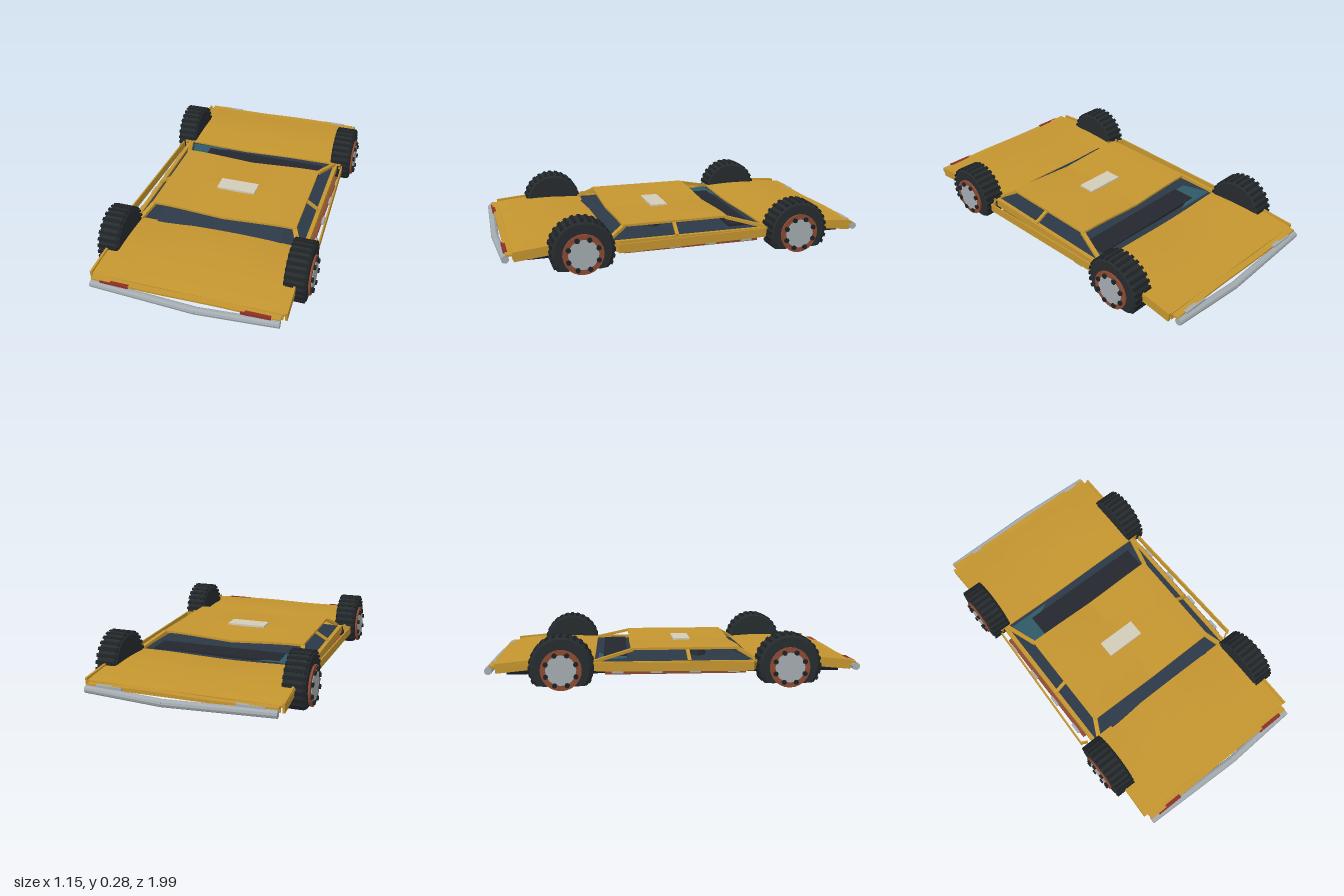
import * as THREE from 'three';

const mat = (color, side = THREE.FrontSide) => new THREE.MeshStandardMaterial({ color, side, flatShading: true });
const PAINT = mat(0xc4952f, THREE.DoubleSide);
const TYRE = mat(0x262b2e), TREAD = mat(0x1d2123), RUST = mat(0x8a4a32), STEEL = mat(0xa3abb0);
const DARK = mat(0x171b24), GLASS = mat(0x2c3846, THREE.DoubleSide), TEAL = mat(0x2f5a66, THREE.DoubleSide);
const CREAM = mat(0xd2cbb8), RED = mat(0x8c2f26), SEAT = mat(0x24282e);

function add(parent, name, geometry, material, x = 0, y = 0, z = 0) {
  const mesh = new THREE.Mesh(geometry, material);
  mesh.name = name;
  mesh.position.set(x, y, z);
  parent.add(mesh);
  return mesh;
}
const box = (parent, name, w, h, d, material, x, y, z) =>
  add(parent, name, new THREE.BoxGeometry(w, h, d), material, x, y, z);

// Straight bar between two points
function bar(parent, name, a, b, w, h, material) {
  const p = new THREE.Vector3(...a), q = new THREE.Vector3(...b);
  const mesh = box(parent, name, w, h, p.distanceTo(q), material, 0, 0, 0);
  mesh.position.copy(p).lerp(q, 0.5);
  mesh.lookAt(q);
  return mesh;
}

// Dented sheet: a thin slab whose height follows a rule
function sheet(parent, name, x0, x1, z0, z1, thickness, height, material) {
  const g = new THREE.BoxGeometry(x1 - x0, thickness, z1 - z0, 10, 1, 8);
  g.translate((x0 + x1) / 2, 0, (z0 + z1) / 2);
  const p = g.attributes.position;
  for (let i = 0; i < p.count; i++) p.setY(i, p.getY(i) + height(p.getX(i), p.getZ(i)));
  g.computeVertexNormals();
  return add(parent, name, g, material);
}

function makeWheel(side) {
  const wheel = new THREE.Group();
  wheel.name = 'wheel';
  // Tyre with sagging flat bottom
  const profile = [[0, -0.058], [0.145, -0.058], [0.163, -0.045], [0.163, 0.045], [0.145, 0.058], [0, 0.058]]
    .map(([r, h]) => new THREE.Vector2(r, h));
  const tyre = new THREE.LatheGeometry(profile, 28);
  tyre.rotateZ(Math.PI / 2);
  const p = tyre.attributes.position;
  for (let i = 0; i < p.count; i++) p.setY(i, Math.max(p.getY(i), -0.093));
  tyre.computeVertexNormals();
  add(wheel, 'tyre', tyre, TYRE);
  // Tread bars
  for (let i = 0; i < 28; i++) {
    const a = (i / 28) * Math.PI * 2;
    if (Math.sin(a) < -0.5) continue;
    const bar = box(wheel, 'treadBar', 0.112, 0.008, 0.018, TREAD, 0, Math.sin(a) * 0.161, Math.cos(a) * 0.161);
    bar.rotation.x = Math.PI / 2 - a;
  }
  // Rusty rim, hub plate and lugs
  const disc = (name, r, w, n, m, x, y, z) =>
    add(wheel, name, new THREE.CylinderGeometry(r, r, w, n).rotateZ(Math.PI / 2), m, side * x, y, z);
  disc('rim', 0.105, 0.012, 24, RUST, 0.062, -0.01, 0);
  disc('hubPlate', 0.078, 0.006, 16, STEEL, 0.068, -0.01, 0);
  for (let i = 0; i < 8; i++) {
    const a = (i + 0.5) / 8 * Math.PI * 2;
    disc('lug', 0.013, 0.014, 8, TREAD, 0.072, -0.01 + Math.sin(a) * 0.082, Math.cos(a) * 0.082);
  }
  return wheel;
}

export function createModel() {
  const car = new THREE.Group();
  car.name = 'flattenedCar';

  // Floor pan and the cabin surface showing through the openings
  box(car, 'floorPan', 0.91, 0.014, 1.74, DARK, 0, 0.075, 0);
  sheet(car, 'cabinFloor', -0.48, 0.48, -0.43, 0.44, 0.01, (x, z) => 0.118 + 0.006 * Math.cos(x * 6 + z * 4), GLASS);

  // Crumpled end panels, drooping toward the bumpers
  for (const s of [1, -1]) {
    const rise = (x, z) => {
      const t = (Math.abs(z) - 0.42) / 0.5;
      return 0.129 + 0.012 * Math.sin(t * Math.PI) - 0.013 * t * t
        + 0.005 * Math.sin(x * 7 + s) * (1 - t);
    };
    const z0 = s > 0 ? 0.42 : -0.92, z1 = s > 0 ? 0.92 : -0.42;
    sheet(car, s > 0 ? 'frontDeck' : 'backDeck', -0.51, 0.505, z0, z1, 0.01, rise, PAINT);
    sheet(car, 'deckLip', -0.49, 0.485, s > 0 ? 0.91 : -0.955, s > 0 ? 0.955 : -0.91, 0.01,
      x => 0.113 + 0.003 * Math.sin(x * 9), PAINT);
    box(car, 'endWall', 0.98, 0.03, 0.012, PAINT, 0, 0.1, s * 0.915);
    // Fender sides
    for (const side of [1, -1]) {
      bar(car, 'fenderSide', [side * 0.5, 0.122, s * 0.42], [side * 0.5, 0.117, s * 0.76], 0.012, 0.034, PAINT);
      bar(car, 'fenderTip', [side * 0.5, 0.125, s * 0.74], [side * 0.505, 0.108, s * 0.92], 0.012, 0.05, PAINT);
    }
    // Bent bumper: round section swept along a kinked line
    const y = 0.085;
    const pts = [[-0.49, y + 0.008, 0.958], [0.07, y - 0.006, 0.977], [0.485, y + 0.006, 0.958]];
    for (let i = 0; i < 2; i++) {
      const a = new THREE.Vector3(pts[i][0], pts[i][1], s * pts[i][2]);
      const b = new THREE.Vector3(pts[i + 1][0], pts[i + 1][1], s * pts[i + 1][2]);
      const g = new THREE.CylinderGeometry(0.02, 0.02, a.distanceTo(b), 10);
      const m = add(car, 'bumper', g, STEEL);
      m.position.copy(a).lerp(b, 0.5);
      m.quaternion.setFromUnitVectors(new THREE.Vector3(0, 1, 0), b.clone().sub(a).normalize());
    }
  }
  // Lamps
  for (const side of [1, -1]) {
    box(car, 'tailLamp', 0.15, 0.014, 0.02, RED, side * 0.365, 0.112, 0.953);
    box(car, 'lampGlass', 0.14, 0.012, 0.02, STEEL, side * 0.36, 0.112, -0.953);
  }

  // Sagging roof with hatch plate
  const roofY = (x, z) => 0.186 - 0.018 * Math.max(0, 1 - Math.abs(x) / 0.3) * (0.2 + 0.8 * Math.abs(z - 0.06) / 0.29);
  sheet(car, 'roof', -0.41, 0.41, -0.23, 0.35, 0.012, roofY, PAINT);
  box(car, 'roofPlate', 0.22, 0.016, 0.095, CREAM, 0, 0.19, 0.065);

  // Crushed glass and interior
  const shard = new THREE.Shape([[-0.44, 0.40], [-0.2, 0.40], [-0.32, 0.345], [-0.28, 0.25], [-0.39, 0.25]]
    .map(([x, y]) => new THREE.Vector2(x, y)));
  add(car, 'glassShard', new THREE.ShapeGeometry(shard).rotateX(-Math.PI / 2), TEAL, 0, 0.135, 0);
  box(car, 'dashboard', 0.72, 0.015, 0.13, SEAT, 0.04, 0.13, -0.31);
  const screen = sheet(car, 'frontGlass', -0.35, 0.35, 0.34, 0.445, 0.006,
    (x, z) => 0.16 - (z - 0.34) * 0.3, GLASS);
  screen.position.y = -0.005;

  for (const side of [1, -1]) {
    // Seats
    const seat = add(car, 'seat', new THREE.CylinderGeometry(0.085, 0.105, 0.03, 8), SEAT, side * 0.19, 0.142, 0.14);
    seat.scale.z = 0.5;
    // Folded roof pillars
    bar(car, 'windscreenPillar', [side * 0.405, 0.183, -0.22], [side * 0.465, 0.132, -0.42], 0.022, 0.016, PAINT);
    bar(car, 'rearPillar', [side * 0.4, 0.183, 0.34], [side * 0.445, 0.132, 0.43], 0.024, 0.016, PAINT);
    bar(car, 'centrePillar', [side * 0.4, 0.182, 0.07], [side * 0.48, 0.132, 0.075], 0.018, 0.012, PAINT);
    // Sill, loose door skin, rocker rail and trim
    box(car, 'sill', 0.022, 0.045, 0.84, PAINT, side * 0.475, 0.108, 0);
    bar(car, 'doorSkin', [side * 0.515, 0.112, -0.41], [side * 0.54, 0.11, 0.4], 0.008, 0.046, PAINT);
    bar(car, 'doorEnd', [side * 0.54, 0.11, 0.39], [side * 0.505, 0.11, 0.41], 0.008, 0.046, PAINT);
    box(car, 'rockerRail', 0.03, 0.014, 0.73, RUST, side * 0.49, 0.077, 0);
    for (const z of [-0.3, -0.1, 0.1, 0.3])
      box(car, 'railBracket', 0.014, 0.014, 0.06, STEEL, side * 0.51, 0.084, z);

    // Wheels
    for (const s of [1, -1]) {
      const wheel = makeWheel(side);
      wheel.position.set(side * 0.498, 0.115, s * 0.585);
      car.add(wheel);
    }
  }
  return car;
}
